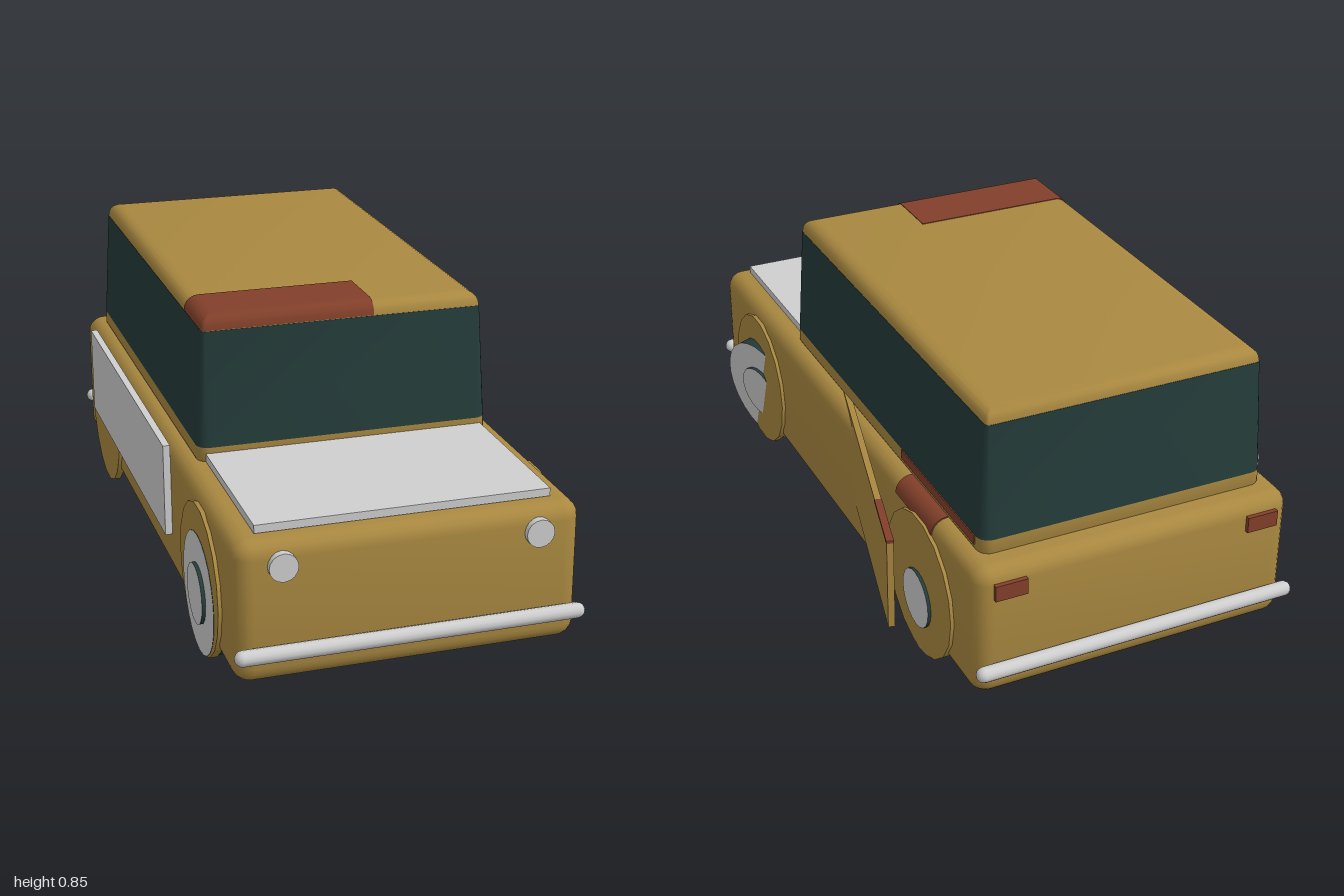
import * as THREE from 'three';
import { toCreasedNormals } from 'three/addons/utils/BufferGeometryUtils.js';

const mat = (name, color) => {
  const m = new THREE.MeshStandardMaterial({ color });
  m.name = name;
  return m;
};

// Rounded rectangle outline in the ground plane, shrunk by d
function outline({ x0, x1, z0, z1, r }, d, steps = 5) {
  const rad = Math.max(r - d, 0.004);
  const pts = [];
  const corners = [[x1 - d - rad, z1 - d - rad], [x0 + d + rad, z1 - d - rad],
    [x0 + d + rad, z0 + d + rad], [x1 - d - rad, z0 + d + rad]];
  corners.forEach(([cx, cz], q) => {
    for (let i = 0; i <= steps; i++) {
      const a = (q + i / steps) * Math.PI / 2;
      pts.push([cx + rad * Math.cos(a), cz + rad * Math.sin(a)]);
    }
  });
  return pts;
}

// Capped loft through rings of [y, inset]; limit cuts it down to a patch
function loft(rect, rings, limit) {
  const pos = [], idx = [];
  let n = 0;
  const clamp = THREE.MathUtils.clamp;
  rings.forEach(([y, d]) => {
    const pts = outline(rect, d);
    n = pts.length;
    pts.forEach(([x, z]) => {
      if (limit) {
        x = clamp(x, limit.x0, limit.x1);
        z = clamp(z, limit.z0, limit.z1);
      }
      pos.push(x, y, z);
    });
  });
  const cx = limit ? (Math.max(limit.x0, rect.x0 + 0.05) + Math.min(limit.x1, rect.x1 - 0.05)) / 2 : (rect.x0 + rect.x1) / 2;
  const cz = limit ? (Math.max(limit.z0, rect.z0 + 0.05) + Math.min(limit.z1, rect.z1 - 0.05)) / 2 : (rect.z0 + rect.z1) / 2;
  const last = rings.length - 1, bottom = n * rings.length, top = bottom + 1;
  pos.push(cx, rings[0][0], cz, cx, rings[last][0], cz);
  for (let j = 0; j < n; j++) {
    const k = (j + 1) % n;
    for (let i = 0; i < last; i++) {
      const a = i * n + j, b = i * n + k;
      idx.push(a, a + n, b, b, a + n, b + n);
    }
    idx.push(bottom, j, k, top, last * n + k, last * n + j);
  }
  const g = new THREE.BufferGeometry();
  g.setAttribute('position', new THREE.Float32BufferAttribute(pos, 3));
  g.setIndex(idx);
  return toCreasedNormals(g, 0.6);
}

// Quarter-round edge rings ending at height y
const roundTop = (y, r, base = 0, n = 5) => Array.from({ length: n + 1 }, (_, i) => {
  const a = i / n * Math.PI / 2;
  return [y - r + r * Math.sin(a), base + r * (1 - Math.cos(a))];
});
const roundBottom = (y, r) => roundTop(0, r).reverse().map(([h, d]) => [y - h, d]);
const grow = (rings, e) => rings.map(([y, d]) => [y + e, d - e]);

export function createModel() {
  const car = new THREE.Group();
  car.name = 'car';
  const ochre = mat('ochre paint', 0xa98840);
  const dark = mat('dark glass and rubber', 0x243c3a);
  const silver = mat('silver', 0xcfcfcf);
  const rust = mat('rust', 0x82402a);

  const add = (name, geo, material, x = 0, y = 0, z = 0, parent = car) => {
    const m = new THREE.Mesh(geo, material);
    m.name = name;
    m.position.set(x, y, z);
    parent.add(m);
    return m;
  };
  const box = (w, h, d) => new THREE.BoxGeometry(w, h, d);
  const mid = -0.065;

  // Lower body
  const bodyRect = { x0: -0.525, x1: 0.395, z0: -0.96, z1: 0.96, r: 0.05 };
  const bodyTop = roundTop(0.45, 0.045);
  add('body', loft(bodyRect, [...roundBottom(0.065, 0.045), ...bodyTop]), ochre);
  add('bodyRust', loft(bodyRect, grow(bodyTop, 0.003),
    { x0: 0.33, x1: 1, z0: -0.69, z1: -0.46 }), rust);

  // Cabin: sill, tapered glass and roof
  const cabinRect = { x0: -0.478, x1: 0.348, z0: -0.888, z1: 0.417, r: 0.035 };
  const sill = [[0.44, 0.006], [0.455, 0], [0.49, 0.001]];
  const roof = roundTop(0.85, 0.04, 0.022);
  add('cabinSill', loft(cabinRect, sill), ochre);
  add('windows', loft(cabinRect, [[0.49, 0.001], [0.81, 0.021]]), dark);
  add('roof', loft(cabinRect, roof), ochre);
  add('roofRust', loft(cabinRect, grow(roof, 0.002),
    { x0: -1, x1: 0.02, z0: 0.2, z1: 1 }), rust);
  add('sillRust', loft(cabinRect, [[0.465, -0.003], [0.49, -0.002]],
    { x0: 0.3, x1: 1, z0: -0.85, z1: -0.39 }), rust);

  // Bonnet and right door in bare metal
  add('bonnet', box(0.785, 0.022, 0.485), silver, mid, 0.463, 0.658);
  add('rightDoor', box(0.02, 0.265, 1.05), silver, -0.535, 0.3225, -0.245);

  // Left door, swung open
  const door = new THREE.Group();
  door.name = 'openDoor';
  door.position.set(0.403, 0.3225, -0.226);
  door.rotation.y = -0.244;
  car.add(door);
  add('doorPanel', box(0.018, 0.265, 1.05), ochre, 0, 0, 0, door);
  add('doorRust', box(0.02, 0.008, 0.2), rust, 0, 0.13, -0.426, door);

  // Wheel arch discs
  const archGeo = new THREE.CylinderGeometry(0.207, 0.207, 0.02, 18).rotateZ(Math.PI / 2);
  for (const x of [-0.525, 0.395]) {
    for (const z of [0.627, -0.622]) add('wheelArch', archGeo, ochre, x, 0.215, z);
  }

  // Wheels: dark tread and silver faces; x is the outer face
  const tyreGeo = new THREE.CylinderGeometry(0.167, 0.167, 0.11, 24);
  const hubGeo = new THREE.CylinderGeometry(0.083, 0.083, 0.03, 20);
  const wheel = (name, x, z, axis) => {
    const g = new THREE.Group();
    g.name = name;
    axis.normalize();
    g.position.set(x, 0.172, z).addScaledVector(axis, -0.055);
    g.quaternion.setFromUnitVectors(new THREE.Vector3(0, 1, 0), axis);
    car.add(g);
    add('tyre', tyreGeo, [dark, silver, silver], 0, 0, 0, g);
    add('hub', hubGeo, [dark, silver, silver], 0, 0.05, 0, g);
  };
  wheel('looseFrontWheel', 0.405, 0.62, new THREE.Vector3(1, -0.12, -0.3));
  wheel('rearLeftWheel', 0.404, -0.622, new THREE.Vector3(1, 0, 0));
  wheel('frontRightWheel', -0.536, 0.622, new THREE.Vector3(-1, 0, 0));

  // Bumpers
  const bumperGeo = new THREE.CapsuleGeometry(0.021, 0.893, 4, 12).rotateZ(Math.PI / 2);
  add('frontBumper', bumperGeo, silver, mid, 0.157, 0.979);
  add('rearBumper', bumperGeo, silver, mid, 0.157, -0.979);

  // Headlights and tail lights
  const lampGeo = new THREE.CylinderGeometry(0.038, 0.038, 0.03, 16).rotateX(Math.PI / 2);
  for (const s of [-1, 1]) {
    add('headlight', lampGeo, silver, mid + s * 0.338, 0.386, 0.962);
    add('tailLight', box(0.09, 0.045, 0.02), rust, mid + s * 0.367, 0.388, -0.962);
  }
  return car;
}
